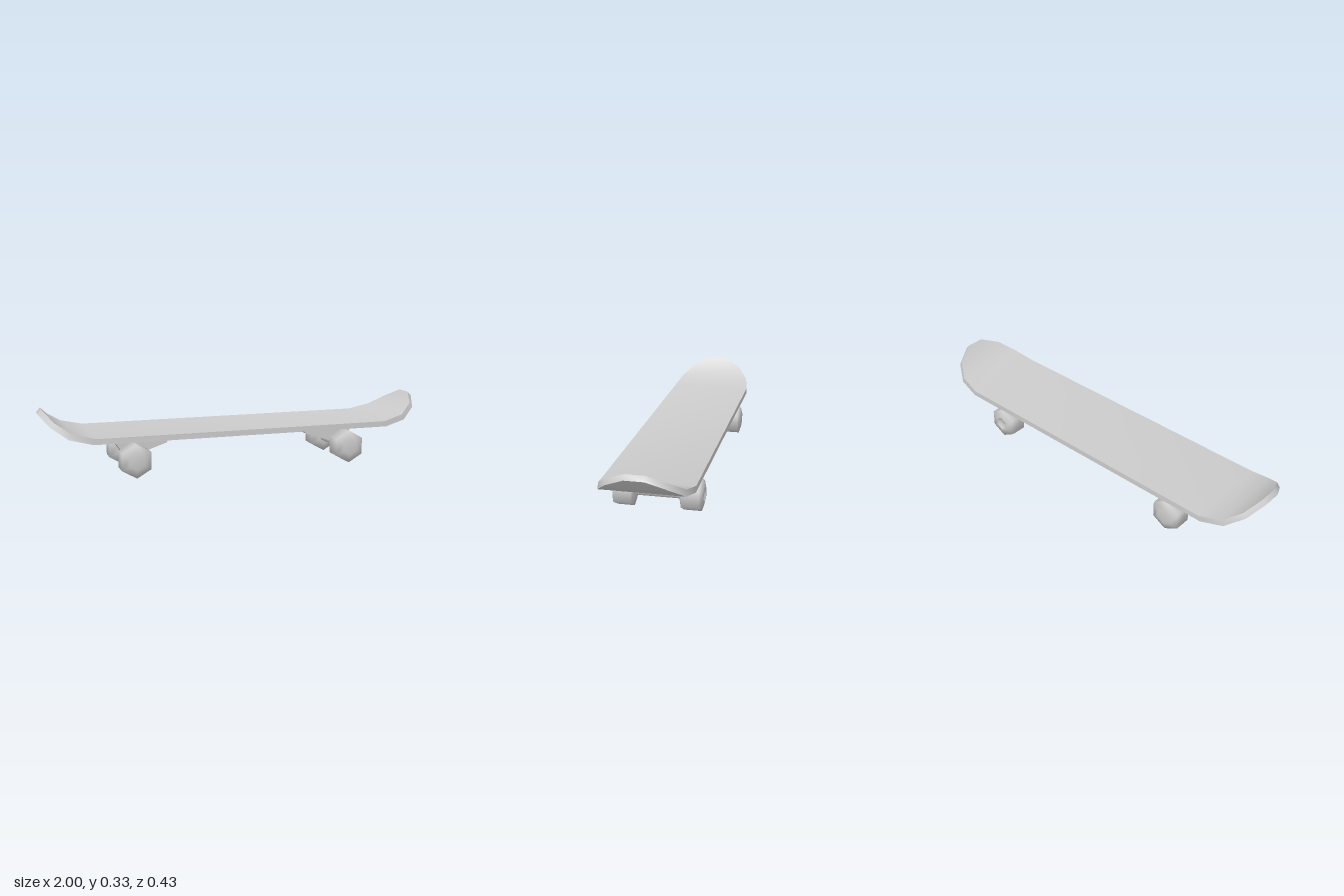
import * as THREE from 'three';
import { toCreasedNormals } from 'three/addons/utils/BufferGeometryUtils.js';

const material = new THREE.MeshStandardMaterial({ color: 0xcccccc });

function addMesh(parent, name, geometry) {
  const mesh = new THREE.Mesh(geometry, material);
  mesh.name = name;
  parent.add(mesh);
  return mesh;
}

// Deck: four-cornered cross-sections along x, closed at both ends
function deckGeometry() {
  // top x, top y, bottom x, bottom y, half width
  const half = [
    [0.755, 0.208, 0.765, 0.18, 0.214],
    [0.865, 0.235, 0.878, 0.207, 0.195],
    [0.94, 0.285, 0.957, 0.262, 0.14],
    [0.98, 0.33, 1.0, 0.309, 0.045],
  ];
  const sections = [
    ...half.map(([tx, ty, bx, by, w]) => [-tx, ty, -bx, by, w]).reverse(),
    ...half,
  ];
  const positions = [];
  const index = [];
  for (const [tx, ty, bx, by, w] of sections) {
    positions.push(tx, ty, w, tx, ty, -w, bx, by, -w, bx, by, w);
  }
  for (let s = 0; s < sections.length - 1; s++) {
    for (let k = 0; k < 4; k++) {
      const a = s * 4 + k;
      const b = s * 4 + ((k + 1) % 4);
      index.push(a, a + 4, b, b, a + 4, b + 4);
    }
  }
  const e = (sections.length - 1) * 4;
  index.push(0, 1, 2, 0, 2, 3, e, e + 2, e + 1, e, e + 3, e + 2);
  const geometry = new THREE.BufferGeometry();
  geometry.setAttribute('position', new THREE.Float32BufferAttribute(positions, 3));
  geometry.setIndex(index);
  return toCreasedNormals(geometry, 0.7);
}

// Wheel: six-sided turned profile, its axis along z with the outer side at +z
function wheelGeometry(recessed) {
  const profile = [[0, -0.055], [0.042, -0.055], [0.0835, -0.042], [0.0835, 0.042], [0.042, 0.055]];
  if (recessed) profile.push([0.03, 0.055], [0.026, 0.044]);
  profile.push([0, recessed ? 0.044 : 0.055]);
  const geometry = new THREE.LatheGeometry(profile.map(([r, y]) => new THREE.Vector2(r, y)), 6);
  return geometry.rotateX(Math.PI / 2);
}

// Hanger: wedge-shaped block under the deck, mirrored for each end
function hangerGeometry(side) {
  const outline = [[0.35, 0.182], [0.375, 0.138], [0.58, 0.07], [0.655, 0.182]];
  const shape = new THREE.Shape(outline.map(([x, y]) => new THREE.Vector2(side * x, y)));
  return new THREE.ExtrudeGeometry(shape, { depth: 0.116, bevelEnabled: false }).translate(0, 0, -0.058);
}

export function createModel() {
  const board = new THREE.Group();
  board.name = 'skateboard';
  addMesh(board, 'deck', deckGeometry());

  for (const side of [-1, 1]) {
    const truck = new THREE.Group();
    truck.name = side > 0 ? 'leftTruck' : 'rightTruck';
    board.add(truck);
    addMesh(truck, 'hanger', hangerGeometry(side));

    const axle = addMesh(truck, 'axle', new THREE.CylinderGeometry(0.029, 0.029, 0.23, 8).rotateX(Math.PI / 2));
    axle.position.set(side * 0.56, 0.084, 0);

    for (const end of [-1, 1]) {
      // One wheel has a recessed hub
      const wheel = addMesh(truck, end > 0 ? 'frontWheel' : 'backWheel', wheelGeometry(side > 0 && end < 0));
      wheel.position.set(side * 0.56, 0.0835, end * 0.16);
      if (end < 0) wheel.rotation.y = Math.PI;
    }
  }
  return board;
}
